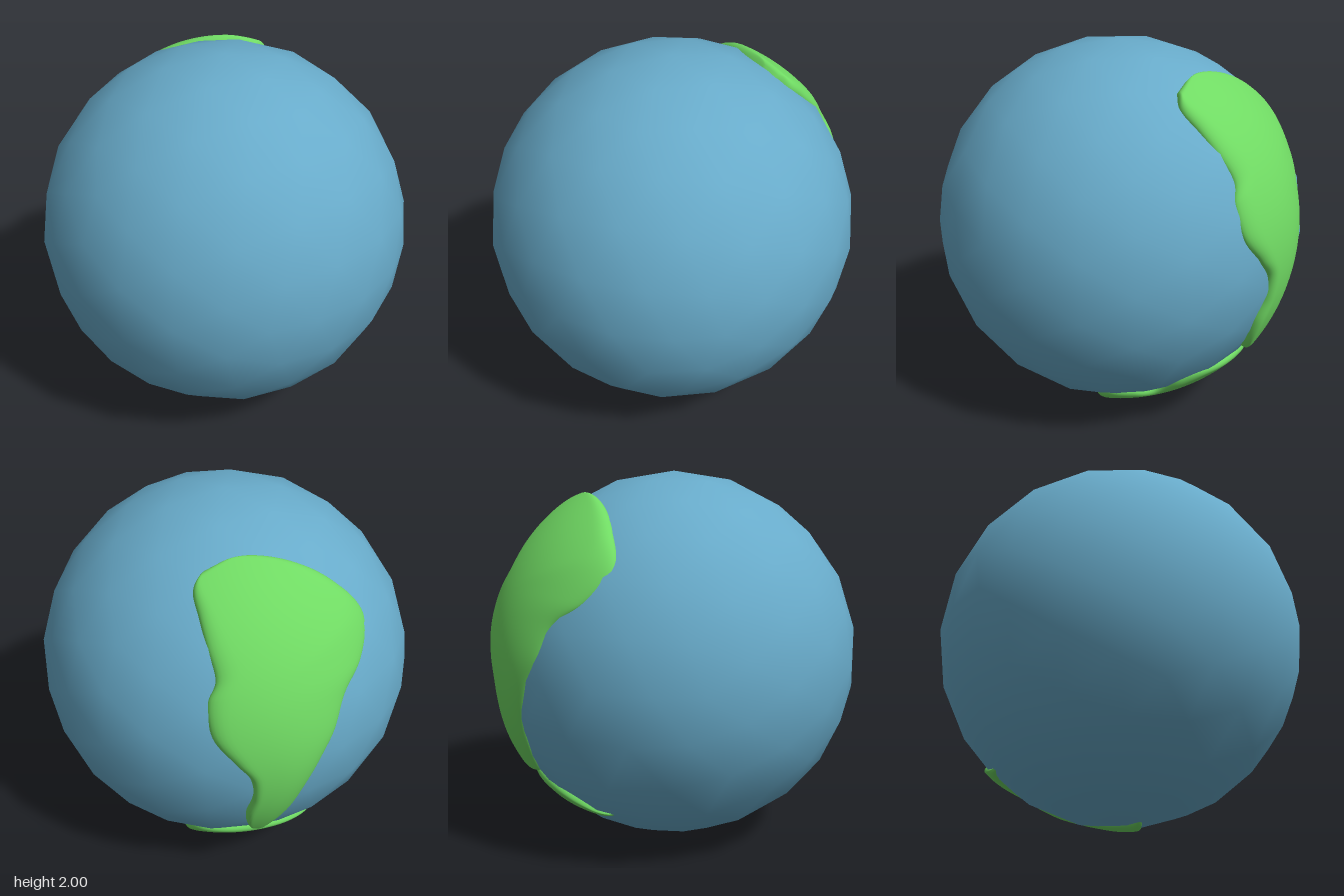
import * as THREE from 'three';

const ocean = new THREE.MeshStandardMaterial({ color: 0x68abca });
ocean.name = 'oceanBlue';
const land = new THREE.MeshStandardMaterial({ color: 0x70da63 });
land.name = 'landGreen';

// Each row: a point on the raised coast, then one on the low coast (directions from the globe centre)
const upperRows = [
  [0.49, 0.84, -0.24, 0.42, 0.86, -0.28],
  [0.58, 0.79, -0.25, 0.30, 0.88, -0.37],
  [0.64, 0.70, -0.33, 0.16, 0.84, -0.52],
  [0.70, 0.60, -0.42, 0.04, 0.74, -0.68],
  [0.75, 0.47, -0.51, -0.04, 0.56, -0.83],
  [0.80, 0.37, -0.50, 0.09, 0.41, -0.91],
  [0.83, 0.20, -0.55, 0.25, 0.29, -0.92],
  [0.78, 0.05, -0.65, 0.34, 0.12, -0.93],
  [0.73, -0.06, -0.71, 0.41, -0.01, -0.91],
  [0.70, -0.20, -0.70, 0.47, -0.20, -0.85],
  [0.69, -0.34, -0.66, 0.49, -0.38, -0.78],
  [0.64, -0.47, -0.63, 0.50, -0.50, -0.70],
  [0.56, -0.57, -0.63, 0.52, -0.58, -0.64],
];
const lowerRows = [
  [0.06, -0.74, -0.67, 0.05, -0.75, -0.66],
  [0.24, -0.68, -0.69, 0.18, -0.77, -0.62],
  [0.41, -0.63, -0.66, 0.28, -0.78, -0.56],
  [0.57, -0.62, -0.54, 0.36, -0.79, -0.50],
  [0.70, -0.61, -0.38, 0.39, -0.81, -0.44],
  [0.69, -0.67, -0.27, 0.36, -0.86, -0.35],
  [0.61, -0.78, -0.15, 0.34, -0.90, -0.27],
  [0.64, -0.77, -0.03, 0.32, -0.93, -0.20],
  [0.61, -0.79, 0.08, 0.30, -0.94, -0.14],
  [0.53, -0.84, 0.14, 0.28, -0.95, -0.09],
  [0.40, -0.90, 0.16, 0.23, -0.97, -0.04],
  [0.17, -0.975, 0.15, 0.12, -0.99, 0.03],
  [0.00, -1.00, 0.12, -0.02, -1.00, 0.10],
];

// Quarter-round rise from 0 to 1
const rise = (x) => {
  const c = 1 - THREE.MathUtils.clamp(x, 0, 1);
  return Math.sqrt(1 - c * c);
};

// Landmass lofted between two coastlines; its edges sink below the water
function landmass(name, rows, height, lowCoastWidth) {
  const coast = (k) => new THREE.CatmullRomCurve3(
    rows.map((r) => new THREE.Vector3(r[k], r[k + 1], r[k + 2]).normalize()));
  const high = coast(0), low = coast(3);
  const nr = 96, nc = 28, sink = 0.02;
  const pos = [], index = [];
  for (let i = 0; i <= nr; i++) {
    const s = i / nr;
    const a = high.getPoint(s), b = low.getPoint(s);
    const ends = rise(Math.min(s, 1 - s) / 0.06);
    for (let j = 0; j <= nc; j++) {
      const t = 0.5 - 0.5 * Math.cos(Math.PI * j / nc);
      const h = (height + sink) * ends * rise(t / 0.14) * rise((1 - t) / lowCoastWidth(s)) - sink;
      const p = a.clone().lerp(b, t).setLength(1 + h);
      pos.push(p.x, p.y, p.z);
      if (i < nr && j < nc) {
        const q = i * (nc + 1) + j, d = q + nc + 1;
        index.push(q, d, q + 1, q + 1, d, d + 1);
      }
    }
  }
  const geo = new THREE.BufferGeometry();
  geo.setAttribute('position', new THREE.Float32BufferAttribute(pos, 3));
  geo.setIndex(index);
  geo.computeVertexNormals();
  const mesh = new THREE.Mesh(geo, land);
  mesh.name = name;
  return mesh;
}

export function createModel() {
  const globe = new THREE.Group();
  globe.name = 'globe';
  globe.position.y = 1;

  // Coarse, smooth-shaded ball of water
  const water = new THREE.Mesh(new THREE.IcosahedronGeometry(1, 3).rotateY(Math.PI / 2), ocean);
  water.name = 'ocean';
  globe.add(water);

  // The upper landmass has a steep northern coast, then a shallow one
  globe.add(landmass('upperContinent', upperRows, 0.025,
    (s) => THREE.MathUtils.lerp(0.14, 0.6, THREE.MathUtils.smoothstep(s, 0.28, 0.42))));
  globe.add(landmass('lowerContinent', lowerRows, 0.013, () => 0.6));

  const model = new THREE.Group();
  model.add(globe);
  return model;
}
